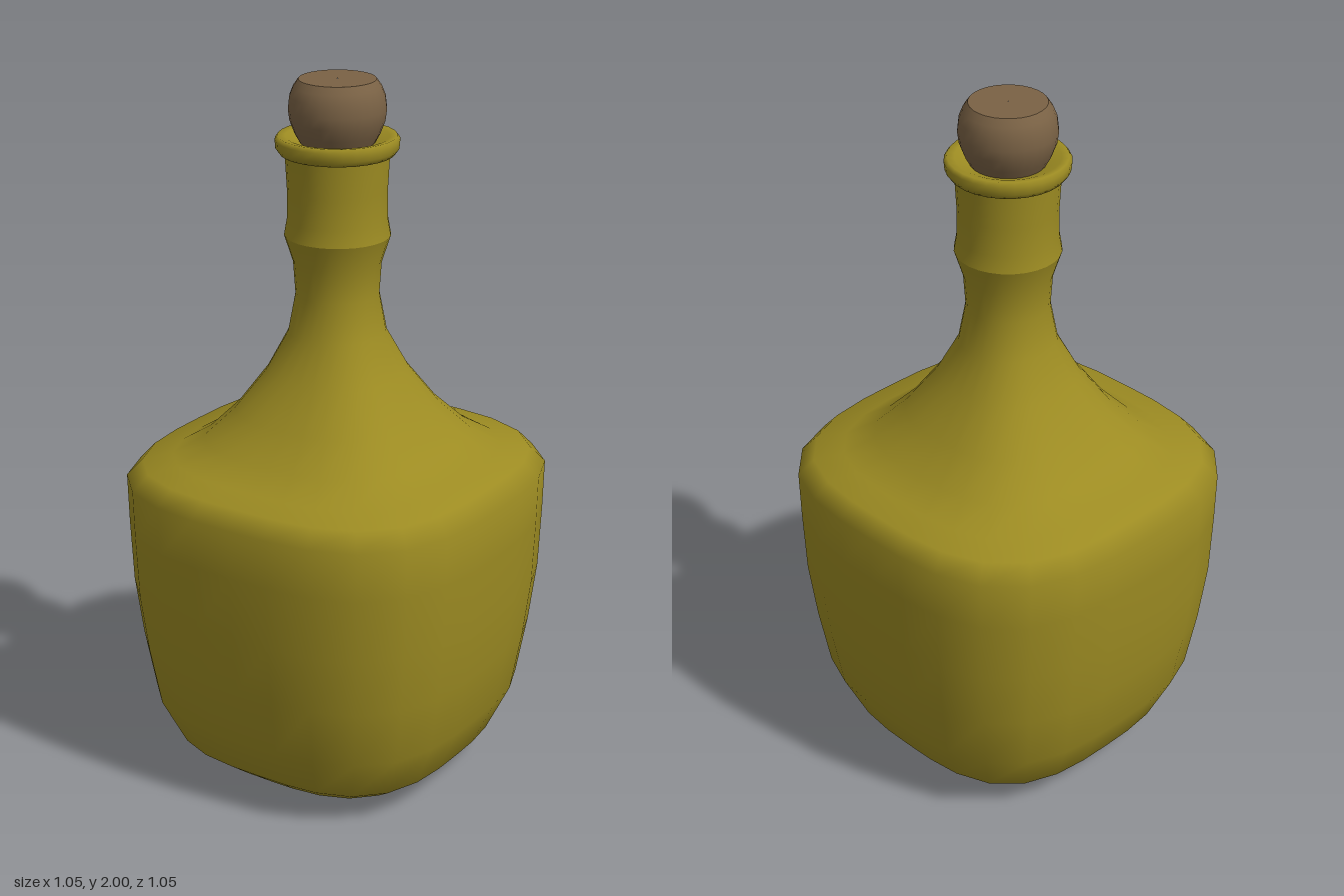
import * as THREE from 'three';

const SIDES = 28;

// Closed rings from [radius, height, squareness]; squareness 2 is a circle, higher is a rounded square
function loft(profile) {
  const pos = [], index = [];
  for (const [r, y, n = 2] of profile) {
    for (let i = 0; i < SIDES; i++) {
      const a = (i / SIDES) * Math.PI * 2, c = Math.cos(a), s = Math.sin(a);
      const k = r / Math.pow(Math.abs(c) ** n + Math.abs(s) ** n, 1 / n);
      pos.push(k * c, y, k * s);
    }
  }
  for (let j = 0; j < profile.length - 1; j++) {
    for (let i = 0; i < SIDES; i++) {
      const a = j * SIDES + i, b = j * SIDES + ((i + 1) % SIDES);
      index.push(a, a + SIDES, b, b, a + SIDES, b + SIDES);
    }
  }
  const g = new THREE.BufferGeometry();
  g.setAttribute('position', new THREE.Float32BufferAttribute(pos, 3));
  g.setIndex(index);
  g.computeVertexNormals();
  return g;
}

export function createModel() {
  const glass = new THREE.MeshStandardMaterial({ color: 0x9c8b22, side: THREE.DoubleSide });
  glass.name = 'olive glass';
  const corkMat = new THREE.MeshStandardMaterial({ color: 0x7a6245 });
  corkMat.name = 'brown cork';

  const group = new THREE.Group();
  group.name = 'bottle';
  const add = (name, geometry, material) => {
    const mesh = new THREE.Mesh(geometry, material);
    mesh.name = name;
    group.add(mesh);
  };

  // Rounded square body, sloping shoulder and waisted neck
  add('body', loft([
    [0.001, 0.003, 3], [0.2, 0.015, 3], [0.34, 0.045, 3], [0.405, 0.095, 3.1],
    [0.467, 0.23, 3.1], [0.495, 0.4, 3.1], [0.515, 0.57, 3.1], [0.522, 0.75, 3.1],
    [0.525, 0.89, 3.1], [0.485, 0.936, 3.1], [0.41, 0.952, 3.1], [0.335, 1.0, 3],
    [0.26, 1.08, 2.8], [0.185, 1.19, 2.5], [0.132, 1.3, 2.2], [0.115, 1.41],
    [0.121, 1.5], [0.145, 1.575],
  ]), glass);

  // Straighter neck above the ridge
  add('upperNeck', loft([[0.145, 1.575], [0.137, 1.62], [0.136, 1.7], [0.142, 1.81]]), glass);

  // Lip with a rounded edge, closing in around the cork
  add('lip', loft([
    [0.13, 1.805], [0.155, 1.8], [0.166, 1.815], [0.168, 1.838],
    [0.16, 1.849], [0.14, 1.846], [0.1, 1.83],
  ]), glass);

  // Ball-shaped cork with a flat top
  add('cork', loft([
    [0.09, 1.81], [0.115, 1.855], [0.128, 1.89], [0.132, 1.92],
    [0.128, 1.955], [0.118, 1.98], [0.104, 2.0],
  ]), corkMat);
  add('corkTop', loft([[0.104, 2.0], [0.001, 2.0]]), corkMat);

  return group;
}
